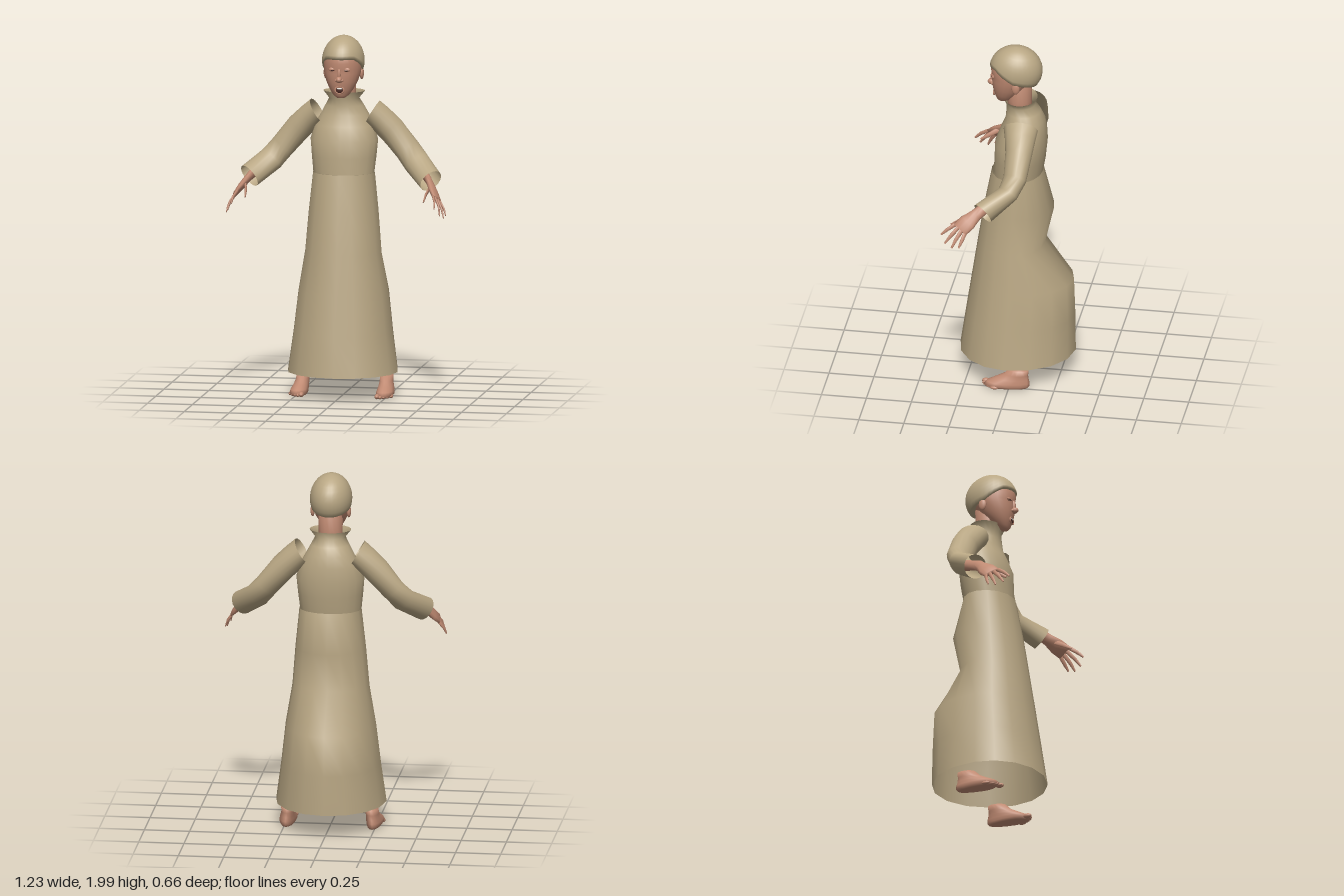
import * as THREE from 'three';

const V = (x, y, z) => new THREE.Vector3(x, y, z);
const mat = (name, color, side = THREE.FrontSide) => {
  const m = new THREE.MeshStandardMaterial({ color, side });
  m.name = name;
  return m;
};

// Skin closed cross-sections (arrays of points) into one smooth surface facing outwards
function loft(rings, capped) {
  const n = rings[0].length, pos = [], idx = [];
  rings.forEach(r => r.forEach(p => pos.push(p.x, p.y, p.z)));
  for (let i = 0; i < rings.length - 1; i++) {
    for (let j = 0; j < n; j++) {
      const a = i * n + j, b = i * n + (j + 1) % n;
      idx.push(a, a + n, b, b, a + n, b + n);
    }
  }
  if (capped) {
    [0, rings.length - 1].forEach(i => {
      const c = rings[i].reduce((s, p) => s.add(p), V(0, 0, 0)).divideScalar(n);
      const k = pos.length / 3;
      pos.push(c.x, c.y, c.z);
      for (let j = 0; j < n; j++) {
        const a = i * n + j, b = i * n + (j + 1) % n;
        idx.push(k, ...(i === 0 ? [a, b] : [b, a]));
      }
    });
  }
  // flip the winding when the surface is inside out
  const at = i => V(pos[3 * i], pos[3 * i + 1], pos[3 * i + 2]).sub(rings[0][0]);
  let volume = 0;
  for (let i = 0; i < idx.length; i += 3) volume += at(idx[i]).dot(at(idx[i + 1]).cross(at(idx[i + 2])));
  if (volume < 0) idx.reverse();
  const g = new THREE.BufferGeometry();
  g.setAttribute('position', new THREE.Float32BufferAttribute(pos, 3));
  g.setIndex(idx);
  g.computeVertexNormals();
  return g;
}

// Horizontal section: y, half width, front z, back z, widest z, centre x
function level([y, rx, front, back, mid = (front + back) / 2, cx = 0], n = 16) {
  return Array.from({ length: n }, (_, j) => {
    const a = j / n * Math.PI * 2, c = Math.cos(a);
    return V(cx + Math.sin(a) * rx, y, mid + c * (c > 0 ? front - mid : mid - back));
  });
}

// Slanted section: centre and two half axes
function section([c, u, v], side, n) {
  return Array.from({ length: n }, (_, j) => {
    const a = j / n * Math.PI * 2, s = Math.sin(a), t = Math.cos(a);
    const [x, y, z] = c.map((k, i) => k + u[i] * s + v[i] * t);
    return V(x * side, y, z);
  });
}

export function createModel() {
  const model = new THREE.Group();
  const cloth = mat('cloth', 0xb8a683, THREE.DoubleSide);
  const skin = mat('skin', 0xc08a72);
  const dark = mat('mouth and lashes', 0x4a2a24);
  const white = mat('teeth', 0xe8e2d8);
  const add = (name, geometry, material, parent = model) => {
    const m = new THREE.Mesh(geometry, material);
    m.name = name;
    parent.add(m);
    return m;
  };
  const ball = (name, material, p, s, parent) => {
    const m = add(name, new THREE.SphereGeometry(1, 14, 10), material, parent);
    m.position.set(...p);
    m.scale.set(...s);
    return m;
  };

  // Long skirt with the back pushed out at the hip and calf
  add('skirt', loft([
    [0.14, 0.305, 0.31, -0.33, 0.02], [0.36, 0.275, 0.278, -0.328, 0.01],
    [0.58, 0.25, 0.245, -0.32, 0], [0.8, 0.213, 0.212, -0.16, 0],
    [1.02, 0.195, 0.177, -0.21, -0.01], [1.24, 0.172, 0.135, -0.15, -0.02],
  ].map(r => level(r)), false), cloth);

  // Bodice with a flared standing collar
  add('bodice', loft([
    [1.24, 0.17, 0.123, -0.147], [1.33, 0.18, 0.12, -0.163], [1.42, 0.188, 0.115, -0.172],
    [1.5, 0.165, 0.085, -0.168], [1.56, 0.132, 0.06, -0.158], [1.61, 0.105, 0.055, -0.135],
    [1.65, 0.083, 0.055, -0.105], [1.69, 0.115, 0.068, -0.116],
  ].map(r => level(r, 20)), false), cloth);

  // Neck and head
  add('neck', loft([
    [1.58, 0.072, 0.045, -0.09], [1.68, 0.066, 0.05, -0.085], [1.82, 0.07, 0.05, -0.09],
  ].map(r => level(r)), true), skin);
  add('head', loft([
    [1.665, 0.022, 0.1, 0.055], [1.68, 0.045, 0.11, 0.02], [1.715, 0.068, 0.123, -0.02],
    [1.755, 0.088, 0.131, -0.06], [1.8, 0.101, 0.135, -0.09], [1.825, 0.104, 0.133, -0.11],
    [1.86, 0.107, 0.141, -0.125], [1.91, 0.1, 0.131, -0.125], [1.96, 0.06, 0.08, -0.08],
  ].map(r => level(r, 24)), true), skin);

  // Close-fitting hair: an ellipsoid cut off along a hairline that drops to the nape
  const hair = [];
  for (let i = 0; i <= 10; i++) {
    hair.push(Array.from({ length: 32 }, (_, j) => {
      const a = j / 32 * Math.PI * 2, c = Math.cos(a);
      const edge = c > 0 ? 1.815 + 0.07 * Math.min(1, c * 1.35) : 1.815 + 0.035 * c;
      const t = 0.02 + (Math.acos((edge - 1.86) / 0.14) - 0.02) * i / 10;
      return V(0.116 * Math.sin(t) * Math.sin(a), 1.86 + 0.14 * Math.cos(t), 0.002 + 0.147 * Math.sin(t) * c);
    }));
  }
  add('hair', loft(hair, true), cloth);

  // Face
  const face = new THREE.Group();
  face.name = 'face';
  model.add(face);
  ball('nose', skin, [0, 1.772, 0.137], [0.017, 0.018, 0.023], face);
  ball('noseBridge', skin, [0, 1.8, 0.132], [0.01, 0.034, 0.013], face);
  ball('mouth', dark, [0, 1.713, 0.121], [0.023, 0.017, 0.005], face);
  ball('upperTeeth', white, [0, 1.721, 0.124], [0.015, 0.005, 0.004], face);
  ball('lowerTeeth', white, [0, 1.704, 0.121], [0.011, 0.004, 0.004], face);
  const lips = add('lips', new THREE.TorusGeometry(0.024, 0.005, 8, 20), skin, face);
  lips.position.set(0, 1.713, 0.121);
  lips.scale.y = 0.8;
  for (const s of [1, -1]) {
    ball('nostrilWing', skin, [s * 0.014, 1.767, 0.13], [0.01, 0.009, 0.012], face);
    ball('eyelid', skin, [s * 0.04, 1.826, 0.121], [0.02, 0.012, 0.008], face);
    ball('eyeSlit', dark, [s * 0.04, 1.822, 0.127], [0.015, 0.003, 0.004], face).rotation.y = s * 0.3;
    ball('ear', skin, [s * 0.1, 1.79, -0.012], [0.012, 0.034, 0.022], face);
  }

  // Open-ended sleeve, from shoulder to cuff
  const sleeve = [
    [[0.155, 1.57, -0.05], [0.037, 0.062, 0], [0, 0, 0.095]],
    [[0.2, 1.53, -0.054], [0.043, 0.06, 0], [0, 0, 0.085]],
    [[0.26, 1.472, -0.056], [0.05, 0.055, 0], [-0.005, 0, 0.075]],
    [[0.35, 1.365, -0.05], [0.048, 0.046, 0], [-0.02, 0, 0.066]],
    [[0.405, 1.3, -0.02], [0.042, 0.05, 0.01], [-0.038, 0, 0.053]],
    [[0.505, 1.22, 0.102], [0.026, 0.058, 0.02], [-0.045, 0, 0.047]],
  ];
  // Forearm to knuckles; the first axis is the thickness, the second the width
  const palm = [
    [[0.435, 1.27, 0.02], [0.012, 0.027, 0.01], [0.018, -0.005, -0.025]],
    [[0.49, 1.232, 0.11], [0.012, 0.022, 0.01], [0.012, -0.012, -0.022]],
    [[0.51, 1.21, 0.14], [0.012, 0.016, 0.008], [0.014, -0.016, -0.024]],
    [[0.535, 1.175, 0.18], [0.014, 0.013, 0.005], [0.018, -0.025, -0.036]],
    [[0.56, 1.14, 0.22], [0.01, 0.009, 0.004], [0.017, -0.023, -0.038]],
  ];
  // Each finger: root, middle joint, tip
  const fingers = [
    [[0.545, 1.16, 0.248], [0.56, 1.132, 0.29], [0.565, 1.1, 0.325]],
    [[0.555, 1.147, 0.23], [0.58, 1.105, 0.268], [0.59, 1.06, 0.3]],
    [[0.565, 1.134, 0.21], [0.592, 1.085, 0.24], [0.605, 1.042, 0.26]],
    [[0.572, 1.122, 0.19], [0.597, 1.085, 0.205], [0.61, 1.05, 0.22]],
    [[0.515, 1.195, 0.175], [0.502, 1.165, 0.225], [0.497, 1.13, 0.28]],
  ];
  // Foot from sole to ankle
  const foot = [
    [0.006, 0.038, 0.12, -0.1, 0.04, 0.238], [0.02, 0.048, 0.142, -0.113, 0.06, 0.24],
    [0.038, 0.046, 0.125, -0.114, 0.04, 0.239], [0.06, 0.04, 0.08, -0.108, -0.01, 0.236],
    [0.085, 0.036, 0.03, -0.104, -0.04, 0.233], [0.115, 0.037, 0, -0.108, -0.054, 0.232],
  ];

  for (const s of [1, -1]) {
    const label = s > 0 ? 'left' : 'right';
    add(label + 'Sleeve', loft(sleeve.map(r => section(r, s, 18)), false), cloth);

    const hand = new THREE.Group();
    hand.name = label + 'Hand';
    model.add(hand);
    add('palm', loft(palm.map(r => section(r, s, 12)), true), skin, hand);
    fingers.forEach((f, i) => {
      const rad = i === 4 ? 0.012 : 0.009;
      const pts = [f[0], f[1], f[2]];
      const rings = pts.map((p, k) => {
        const r = rad * [1.1, 0.95, 0.5][k];
        return section([p, [0.5 * r, 0.7 * r, 0.4 * r], [0.35 * r, -0.5 * r, -0.8 * r]], s, 8);
      });
      add(i === 4 ? 'thumb' : 'finger', loft(rings, true), skin, hand);
    });

    const footGroup = new THREE.Group();
    footGroup.name = label + 'Foot';
    model.add(footGroup);
    add('foot', loft(foot.map(r => level([...r.slice(0, 5), r[5] * s])), true), skin, footGroup);
    for (let i = 0; i < 5; i++) {
      const r = i === 0 ? 0.014 : 0.01;
      ball('toe', skin, [s * (0.211 + i * 0.0175), 0.005 + r, 0.132 - i * i * 0.0035],
        [r, r, 0.024], footGroup);
    }
  }
  return model;
}
